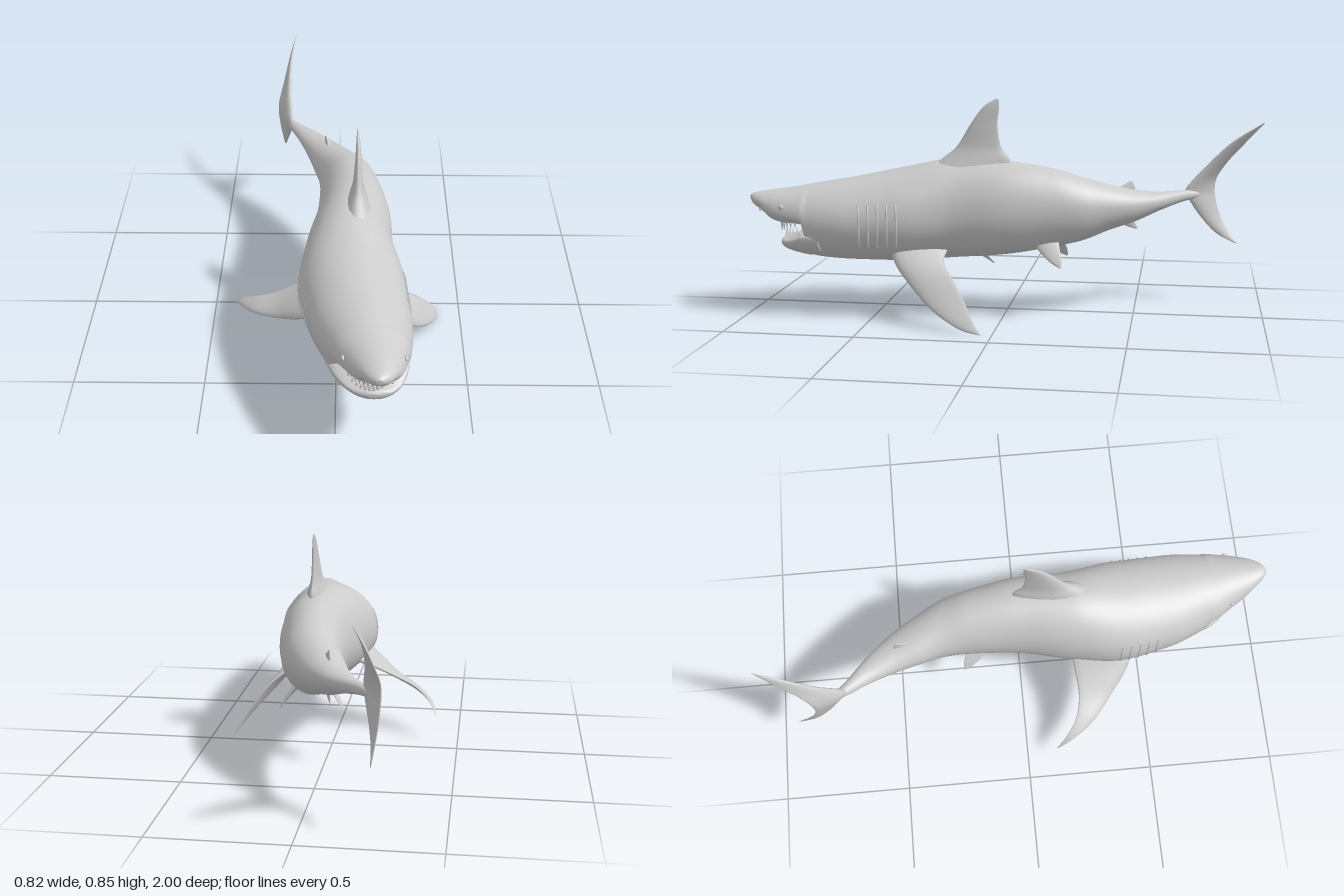
import * as THREE from 'three';

const material = new THREE.MeshStandardMaterial({ color: 0xcccccc, roughness: 0.8 });
const V = (a) => new THREE.Vector3(...a);

// Cross-sections along the body: z, centre x, half width, top y, widest y, bottom y
const BODY = [
  [1.0, 0.15, 0.012, 0.466, 0.456, 0.446],
  [0.985, 0.15, 0.034, 0.474, 0.45, 0.428],
  [0.95, 0.148, 0.06, 0.481, 0.44, 0.405],
  [0.9, 0.142, 0.09, 0.488, 0.415, 0.368],
  [0.86, 0.136, 0.108, 0.493, 0.405, 0.358],
  [0.8, 0.124, 0.134, 0.502, 0.395, 0.354],
  [0.77, 0.12, 0.144, 0.507, 0.392, 0.348],
  [0.752, 0.116, 0.15, 0.51, 0.378, 0.228],
  [0.7, 0.106, 0.166, 0.519, 0.375, 0.218],
  [0.6, 0.088, 0.187, 0.535, 0.375, 0.21],
  [0.4, 0.06, 0.2, 0.575, 0.38, 0.205],
  [0.2, 0.05, 0.17, 0.61, 0.395, 0.22],
  [0.0, 0.064, 0.146, 0.605, 0.41, 0.24],
  [-0.2, 0.05, 0.122, 0.575, 0.42, 0.275],
  [-0.3, 0.033, 0.112, 0.543, 0.425, 0.297],
  [-0.4, -0.008, 0.098, 0.512, 0.43, 0.333],
  [-0.5, -0.055, 0.08, 0.486, 0.43, 0.362],
  [-0.6, -0.118, 0.056, 0.471, 0.437, 0.4],
  [-0.69, -0.19, 0.028, 0.468, 0.445, 0.425],
  [-0.76, -0.238, 0.01, 0.46, 0.447, 0.435],
];
const JAW = [
  [0.878, 0.134, 0.02, 0.294, 0.286, 0.276],
  [0.868, 0.134, 0.056, 0.302, 0.288, 0.263],
  [0.84, 0.132, 0.092, 0.307, 0.292, 0.25],
  [0.8, 0.125, 0.122, 0.325, 0.302, 0.238],
  [0.76, 0.119, 0.14, 0.344, 0.315, 0.229],
  [0.7, 0.106, 0.15, 0.344, 0.32, 0.23],
];

// Monotone cubic interpolation of a section table at z
function section(rows, z) {
  let i = 0;
  while (i < rows.length - 2 && z < rows[i + 1][0]) i++;
  const h = rows[i + 1][0] - rows[i][0], u = (z - rows[i][0]) / h;
  return rows[0].map((_, c) => {
    const slope = (k) => (rows[k + 1][c] - rows[k][c]) / (rows[k + 1][0] - rows[k][0]);
    const tangent = (k) => {
      if (k === 0) return slope(0);
      if (k === rows.length - 1) return slope(k - 1);
      const a = slope(k - 1), b = slope(k);
      return a * b <= 0 ? 0 : (2 * a * b) / (a + b);
    };
    const p = rows[i][c], q = rows[i + 1][c], s = u * u, t = s * u;
    return p * (2 * t - 3 * s + 1) + q * (3 * s - 2 * t) + h * (tangent(i) * (t - 2 * s + u) + tangent(i + 1) * (t - s));
  });
}

// Point on a body surface at z and angle t (0 = left side, PI/2 = back)
function surface(rows, z, t) {
  const [, cx, w, top, mid, low] = section(rows, z);
  const s = Math.sin(t);
  return new THREE.Vector3(cx + w * Math.cos(t), mid + s * (s > 0 ? top - mid : mid - low), z);
}

// Skin over a list of closed rings, capped at both ends, facing outwards
function loft(name, rings) {
  const n = rings[0].length, m = rings.length, pts = rings.flat(), idx = [];
  for (let i = 0; i < m - 1; i++) for (let j = 0; j < n; j++) {
    const a = i * n + j, b = i * n + ((j + 1) % n);
    idx.push(a, a + n, b, b, a + n, b + n);
  }
  [0, m - 1].forEach((r) => {
    const c = pts.length;
    pts.push(rings[r].reduce((s, p) => s.add(p), new THREE.Vector3()).divideScalar(n));
    for (let j = 0; j < n; j++) {
      const a = r * n + j, b = r * n + ((j + 1) % n);
      if (r) idx.push(c, b, a); else idx.push(c, a, b);
    }
  });
  const o = pts[0], cross = new THREE.Vector3();
  let volume = 0;
  for (let k = 0; k < idx.length; k += 3) {
    const [a, b, c] = [0, 1, 2].map((e) => pts[idx[k + e]].clone().sub(o));
    volume += a.dot(cross.crossVectors(b, c));
  }
  if (volume < 0) idx.reverse();
  const g = new THREE.BufferGeometry().setFromPoints(pts);
  g.setIndex(idx);
  g.computeVertexNormals();
  return mesh(name, g);
}

function mesh(name, geometry) {
  const m = new THREE.Mesh(geometry, material);
  m.name = name;
  return m;
}

function hull(name, rows, steps, sides) {
  const z0 = rows[0][0], length = z0 - rows[rows.length - 1][0], rings = [];
  for (let i = 0; i <= steps; i++) {
    const z = z0 - length * (i / steps) ** 1.4;
    rings.push(Array.from({ length: sides }, (_, j) => surface(rows, z, (j / sides) * Math.PI * 2)));
  }
  return loft(name, rings);
}

// Fin from stations: [leading point, trailing point, thickness]
function fin(name, stations, steps = 28) {
  const lead = new THREE.CatmullRomCurve3(stations.map((s) => V(s[0])));
  const trail = new THREE.CatmullRomCurve3(stations.map((s) => V(s[1])));
  const thick = new THREE.CatmullRomCurve3(stations.map((s) => V([s[2], 0, 0])));
  const rings = [], half = 9;
  for (let i = 0; i <= steps; i++) {
    const u = i / steps, a = lead.getPoint(u), chord = trail.getPoint(u).sub(a);
    const span = lead.getTangent(u).add(trail.getTangent(u));
    const normal = chord.clone().cross(span).normalize();
    const t = Math.max(thick.getPoint(u).x, 0.001);
    rings.push(Array.from({ length: half * 2 }, (_, j) => {
      const w = (j / half) * Math.PI, f = (1 - Math.cos(w)) / 2;
      const side = Math.sin(w) * (1.25 - 0.75 * f) * 0.5 * t; // blunt front, sharp back
      return a.clone().addScaledVector(chord, f).addScaledVector(normal, side);
    }));
  }
  return loft(name, rings);
}

export function createModel() {
  const shark = new THREE.Group();
  shark.name = 'shark';
  shark.add(hull('body', BODY, 190, 48), hull('lowerJaw', JAW, 40, 36));

  shark.add(fin('dorsalFin', [
    [[0.078, 0.56, 0.31], [0.08, 0.57, -0.02], 0.12],
    [[0.078, 0.615, 0.245], [0.08, 0.614, -0.02], 0.075],
    [[0.079, 0.66, 0.19], [0.08, 0.66, 0.013], 0.044],
    [[0.08, 0.755, 0.13], [0.08, 0.745, 0.028], 0.026],
    [[0.079, 0.82, 0.08], [0.079, 0.815, 0.022], 0.015],
    [[0.077, 0.848, 0.035], [0.077, 0.846, 0.022], 0.004],
  ]));
  shark.add(fin('leftPectoralFin', [
    [[0.15, 0.27, 0.44], [0.13, 0.29, 0.2], 0.08],
    [[0.225, 0.22, 0.405], [0.215, 0.238, 0.215], 0.05],
    [[0.3, 0.13, 0.31], [0.29, 0.185, 0.17], 0.03],
    [[0.36, 0.065, 0.22], [0.345, 0.115, 0.115], 0.02],
    [[0.404, 0.015, 0.11], [0.394, 0.04, 0.068], 0.012],
    [[0.408, 0.002, 0.045], [0.406, 0.004, 0.04], 0.003],
  ]));
  shark.add(fin('rightPectoralFin', [
    [[-0.07, 0.3, 0.45], [-0.05, 0.31, 0.2], 0.1],
    [[-0.14, 0.26, 0.425], [-0.14, 0.27, 0.212], 0.055],
    [[-0.23, 0.205, 0.355], [-0.24, 0.225, 0.22], 0.03],
    [[-0.33, 0.165, 0.27], [-0.32, 0.19, 0.2], 0.02],
    [[-0.39, 0.135, 0.18], [-0.38, 0.145, 0.155], 0.012],
    [[-0.411, 0.095, 0.122], [-0.409, 0.096, 0.118], 0.003],
  ]));
  shark.add(fin('tailFin', [
    [[-0.245, 0.245, -0.9], [-0.246, 0.246, -0.906], 0.003],
    [[-0.242, 0.285, -0.822], [-0.252, 0.285, -0.872], 0.012],
    [[-0.228, 0.35, -0.76], [-0.262, 0.35, -0.837], 0.02],
    [[-0.21, 0.42, -0.712], [-0.268, 0.42, -0.815], 0.028],
    [[-0.203, 0.46, -0.69], [-0.27, 0.455, -0.81], 0.032],
    [[-0.207, 0.51, -0.725], [-0.268, 0.505, -0.815], 0.028],
    [[-0.215, 0.57, -0.78], [-0.248, 0.575, -0.855], 0.022],
    [[-0.213, 0.66, -0.87], [-0.222, 0.665, -0.93], 0.014],
    [[-0.196, 0.741, -0.99], [-0.195, 0.743, -0.998], 0.003],
  ], 44));
  shark.add(fin('secondDorsalFin', [
    [[-0.03, 0.47, -0.41], [-0.055, 0.47, -0.49], 0.03],
    [[-0.04, 0.5, -0.443], [-0.057, 0.494, -0.497], 0.014],
    [[-0.052, 0.522, -0.478], [-0.056, 0.518, -0.488], 0.004],
  ], 12));
  shark.add(fin('analFin', [
    [[-0.03, 0.38, -0.42], [-0.055, 0.38, -0.49], 0.03],
    [[-0.045, 0.348, -0.455], [-0.058, 0.352, -0.5], 0.014],
    [[-0.058, 0.331, -0.498], [-0.061, 0.332, -0.51], 0.004],
  ], 12));
  for (const s of [-1, 1]) {
    const side = s > 0 ? 'left' : 'right', x = (d) => 0.05 + s * d;
    shark.add(fin(side + 'PelvicFin', [
      [[x(0.045), 0.31, -0.1], [x(0.045), 0.32, -0.21], 0.04],
      [[x(0.08), 0.268, -0.14], [x(0.085), 0.275, -0.222], 0.02],
      [[x(0.11), 0.232, -0.185], [x(0.11), 0.24, -0.232], 0.011],
      [[x(0.125), 0.211, -0.225], [x(0.125), 0.213, -0.233], 0.003],
    ], 16));

    // Eye, nostril and gill slits follow the skin
    const angle = (t) => (s > 0 ? t : Math.PI - t);
    const eye = mesh(side + 'Eye', new THREE.SphereGeometry(0.011, 16, 12));
    eye.position.copy(surface(BODY, 0.85, angle(0.32)));
    eye.scale.x = 0.6;
    const nostril = mesh(side + 'Nostril', new THREE.SphereGeometry(0.01, 12, 8));
    nostril.position.copy(surface(BODY, 0.95, angle(-0.75)));
    nostril.scale.set(0.45, 0.9, 0.6);
    nostril.rotation.z = s * 0.5;
    shark.add(eye, nostril);
    for (let k = 0; k < 5; k++) {
      const path = Array.from({ length: 9 }, (_, j) => {
        const t = -0.58 + j * 0.125;
        return surface(BODY, 0.55 - k * 0.036 - 0.015 * Math.cos(t * 2), angle(t));
      });
      shark.add(mesh(side + 'GillSlit', new THREE.TubeGeometry(new THREE.CatmullRomCurve3(path), 20, 0.004, 6)));
    }
  }

  // Two rows of teeth along the curved jaws
  const tooth = new THREE.ConeGeometry(0.0095, 1, 6);
  const teethRow = (name, rows, count, reach, front, length, up) => {
    const row = new THREE.Group();
    row.name = name;
    for (let i = 0; i < count; i++) {
      const f = (i / (count - 1)) * 2 - 1, z = front - 0.085 * f * f;
      const [, cx, w] = section(rows, z), d = f * reach + 0.128 - cx;
      const t = Math.acos(THREE.MathUtils.clamp(d / w, -0.92, 0.92));
      const p = surface(rows, z, up * t), h = length * (1 - 0.35 * f * f);
      const m = mesh('tooth', tooth);
      m.position.set(p.x, p.y + up * (h / 2 - 0.008), z);
      m.scale.set(1, up * h, 0.6);
      m.scale.y = h;
      m.rotation.set(up > 0 ? 0 : Math.PI, 0, 0);
      row.add(m);
    }
    shark.add(row);
  };
  teethRow('upperTeeth', BODY, 15, 0.1, 0.884, 0.048, -1);
  teethRow('lowerTeeth', JAW, 14, 0.094, 0.866, 0.036, 1);
  return shark;
}
